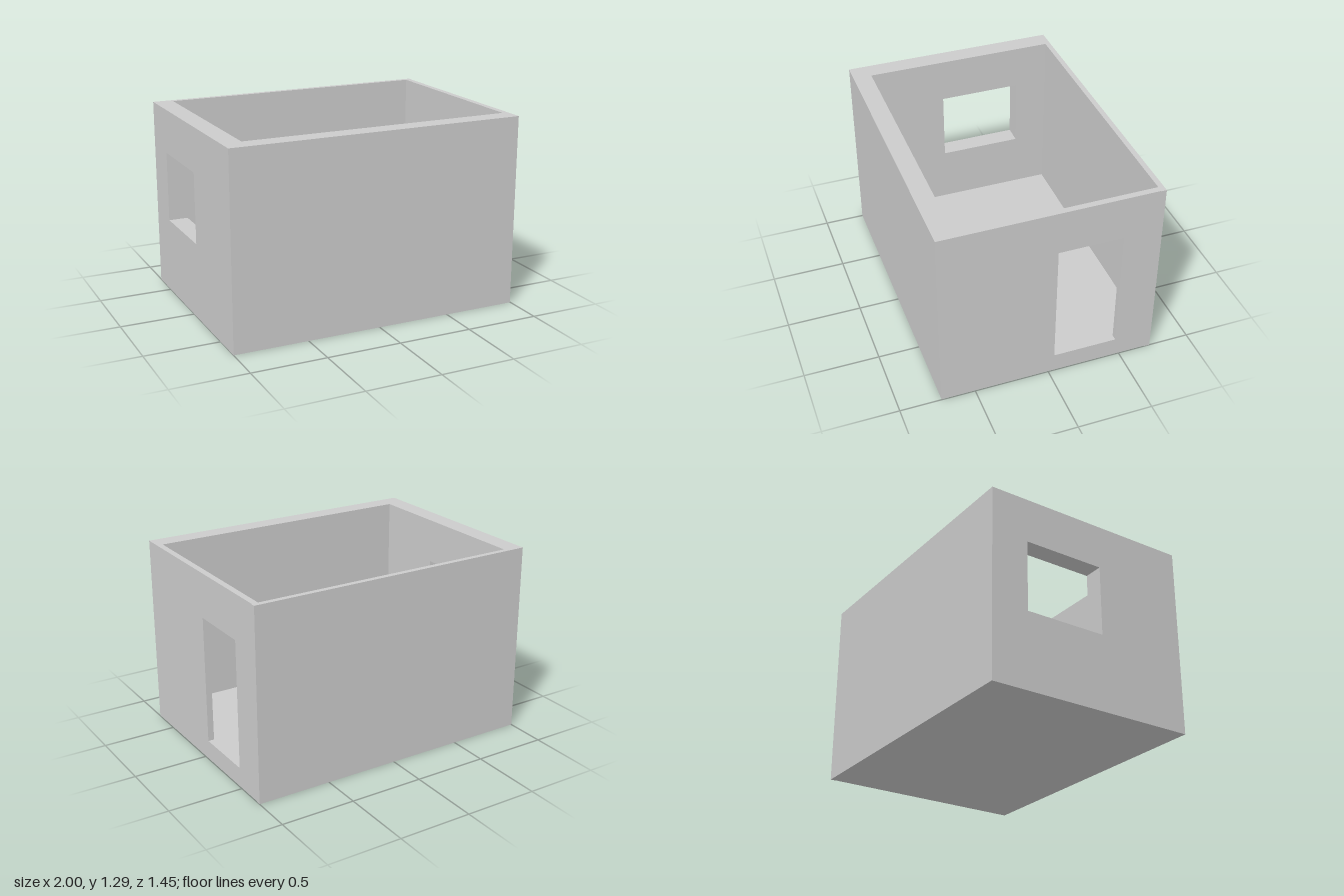
import * as THREE from 'three';

const H = 1.29;                                   // wall height
const outer = { x0: -1, x1: 0.996, z0: -0.725, z1: 0.725 };
const inner = { x0: -0.87, x1: 0.955, z0: -0.69, z1: 0.6 };
const FLOOR = 0.13;

const material = new THREE.MeshStandardMaterial({ color: 0xcccccc, flatShading: true });

function addMesh(group, name, geometry) {
  const mesh = new THREE.Mesh(geometry, material);
  mesh.name = name;
  group.add(mesh);
  return mesh;
}

// Solid block given by its limits on each axis
function block(group, name, x0, x1, y0, y1, z0, z1) {
  addMesh(group, name, new THREE.BoxGeometry(x1 - x0, y1 - y0, z1 - z0))
    .position.set((x0 + x1) / 2, (y0 + y1) / 2, (z0 + z1) / 2);
}

// Rectangle in the wall plane, drawn with -z as the horizontal axis
function rectangle(PathType, z0, z1, y0, y1) {
  const path = new PathType();
  path.moveTo(-z1, y0);
  path.lineTo(-z0, y0);
  path.lineTo(-z0, y1);
  path.lineTo(-z1, y1);
  path.closePath();
  return path;
}

// Side wall with one rectangular opening, extruded along x
function sideWall(group, name, x0, x1, opening) {
  const shape = rectangle(THREE.Shape, inner.z0, outer.z1, 0, H);
  shape.holes.push(rectangle(THREE.Path, ...opening));
  const geometry = new THREE.ExtrudeGeometry(shape, { depth: x1 - x0, bevelEnabled: false });
  geometry.rotateY(Math.PI / 2).translate(x0, 0, 0);
  addMesh(group, name, geometry);
}

export function createModel() {
  const room = new THREE.Group();
  room.name = 'room';

  // Floor slab between the walls
  block(room, 'floor', inner.x0, inner.x1, 0, FLOOR, inner.z0, inner.z1);

  // Thick front wall and thin full-width back wall
  block(room, 'frontWall', inner.x0, inner.x1, 0, H, inner.z1, outer.z1);
  block(room, 'backWall', -1, 1, 0, H, outer.z0, inner.z0);

  // Side walls: doorway on the left, window on the right
  sideWall(room, 'doorWall', inner.x1, outer.x1, [-0.47, -0.04, FLOOR, 0.99]);
  sideWall(room, 'windowWall', outer.x0, inner.x0, [-0.47, 0.09, 0.515, 0.99]);

  return room;
}
